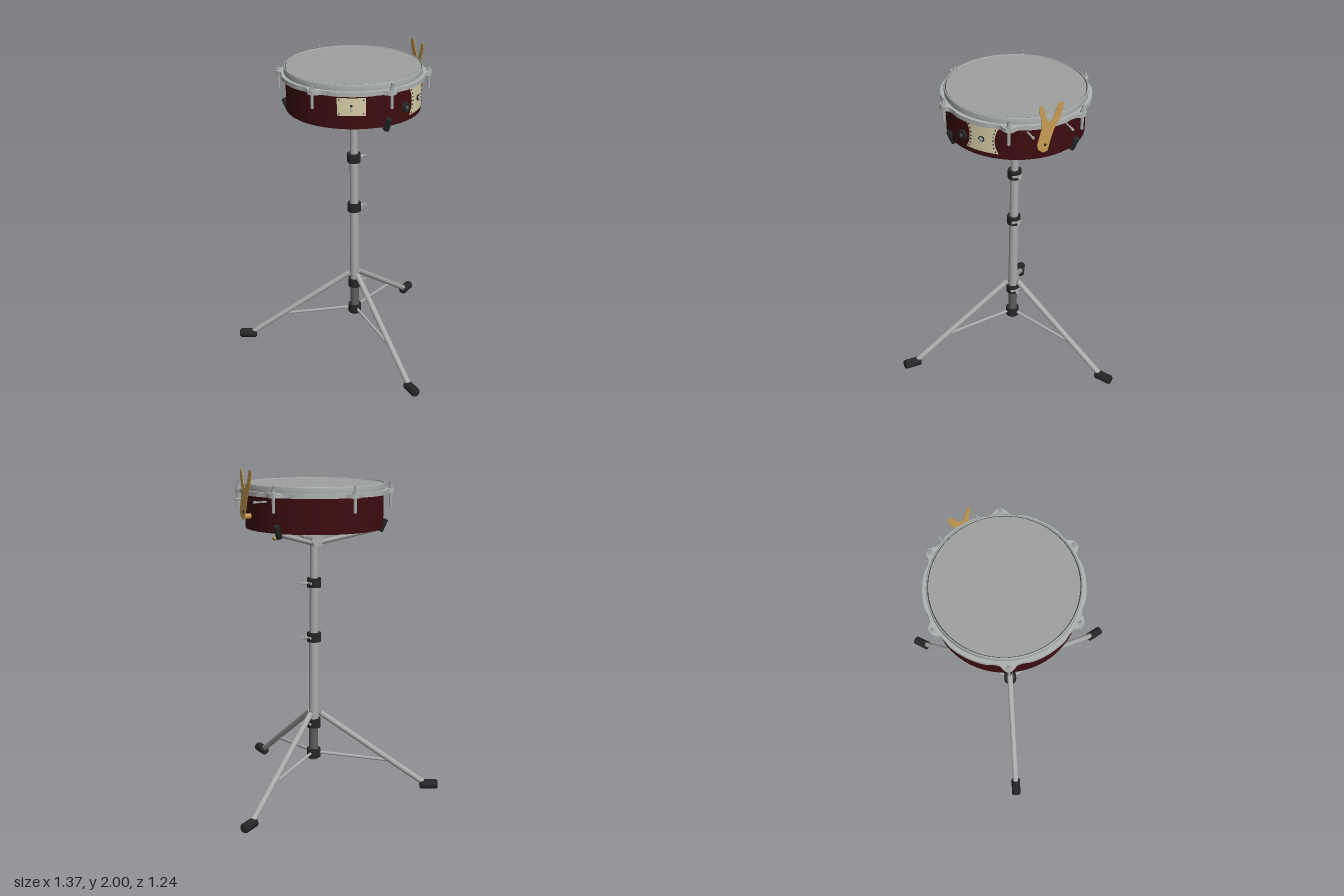
import * as THREE from 'three';

const CZ = -0.155; // z of the stand's axis
const R = 0.405;   // shell radius
const DEG = Math.PI / 180;

const mat = (name, color, side = THREE.FrontSide) => {
  const m = new THREE.MeshStandardMaterial({ color, side });
  m.name = name;
  return m;
};

export function createModel() {
  const root = new THREE.Group();
  root.name = 'drumOnStand';
  const chrome = mat('chrome', 0xa9abab);
  const tubeGrey = mat('dark steel', 0x5c5e5e);
  const black = mat('black rubber', 0x242627);
  const red = mat('dark red lacquer', 0x3d0c0f);
  const skin = mat('drum skin', 0x9fa29f);
  const cream = mat('cream plate', 0xd9cfa9, THREE.DoubleSide);
  const gold = mat('golden wood', 0xc89d55, THREE.DoubleSide);
  const wood = mat('brown wood', 0x96603a);
  const hoopGrey = mat('hoop metal', 0xb0b3b3);

  const add = (name, geo, m, parent = root) => {
    const mesh = new THREE.Mesh(geo, m);
    mesh.name = name;
    parent.add(mesh);
    return mesh;
  };
  // Point at an angle from +z around the axis
  const P = (a, r, y) => new THREE.Vector3(r * Math.sin(a), y, CZ + r * Math.cos(a));
  const rod = (name, a, b, r, m, r2 = r, sides = 20) => {
    const d = b.clone().sub(a);
    const mesh = add(name, new THREE.CylinderGeometry(r2, r, d.length(), sides), m);
    mesh.position.copy(a).add(b).multiplyScalar(0.5);
    mesh.quaternion.setFromUnitVectors(new THREE.Vector3(0, 1, 0), d.normalize());
    return mesh;
  };
  const post = (name, y0, y1, r, m) => rod(name, P(0, 0, y0), P(0, 0, y1), r, m, r, 32);
  const lathe = (name, pts, m) => {
    const mesh = add(name, new THREE.LatheGeometry(pts.map(p => new THREE.Vector2(...p)), 72), m);
    mesh.position.z = CZ;
    return mesh;
  };

  // Telescopic column
  post('lowerTube', 0.2, 0.43, 0.028, tubeGrey);
  post('mainTube', 0.43, 0.98, 0.029, chrome);
  post('middleTube', 0.98, 1.32, 0.027, chrome);
  post('upperTube', 1.32, 1.56, 0.024, chrome);

  // Clamp collars and their wing bolts
  [0.24, 0.435, 0.98, 1.315].forEach((y, i) => {
    post('collar', y - 0.028, y + 0.028, 0.042, black);
    if (i === 0) return;
    const bar = add('clampBar', new THREE.BoxGeometry(0.01, 0.012, 0.066), chrome);
    bar.position.set(0.04, y, CZ);
    rod('wingBolt', new THREE.Vector3(0.04, y, CZ), new THREE.Vector3(0.066, y, CZ), 0.007, chrome);
    const lever = new THREE.CatmullRomCurve3([
      new THREE.Vector3(0.06, y, CZ - 0.012),
      new THREE.Vector3(0.072, y - 0.002, CZ),
      new THREE.Vector3(0.088, y + 0.002, CZ + 0.014)]);
    add('wingLever', new THREE.TubeGeometry(lever, 8, 0.006, 8), chrome);
  });

  // Hub of the drum basket
  rod('basketHub', new THREE.Vector3(0, 1.573, CZ - 0.042),
    new THREE.Vector3(0, 1.573, CZ + 0.042), 0.039, chrome, 0.039, 32);

  // Three legs, braces, feet, basket arms and grips
  for (let i = 0; i < 3; i++) {
    const a = i * 120 * DEG;
    rod('leg', P(a, 0.04, 0.5), P(a, 0.7, 0.035), 0.018, chrome);
    rod('legBrace', P(a, 0.03, 0.242), P(a, 0.47, 0.19), 0.009, chrome);
    const prof = [[0, -0.055], [0.024, -0.055], [0.029, -0.048], [0.029, 0.048], [0.024, 0.055], [0, 0.055]];
    const foot = add('rubberFoot', new THREE.LatheGeometry(prof.map(p => new THREE.Vector2(...p)), 24), black);
    foot.position.copy(P(a, 0.722, 0.032));
    foot.quaternion.setFromUnitVectors(new THREE.Vector3(0, 1, 0), new THREE.Vector3(Math.sin(a), 0, Math.cos(a)));
    rod('basketArm', P(a, 0.0, 1.548), P(a, 0.395, 1.645), 0.014, chrome);
    rod('basketGrip', P(a, 0.387, 1.625), P(a, 0.42, 1.695), 0.019, black, 0.016);
  }

  // Tightening knob under the drum
  const knob = rod('basketKnob', new THREE.Vector3(0.208, 1.592, -0.12),
    new THREE.Vector3(0.255, 1.588, -0.12), 0.009, gold);
  knob.scale.z = 2;

  // Shell, wooden underside and skin
  const shell = add('shell', new THREE.CylinderGeometry(R, R, 0.212, 72, 1, true), red);
  shell.position.set(0, 1.756, CZ);
  lathe('shellBottomEdge', [[0.39, 1.65], [R, 1.65]], red);
  const bottom = add('underside', new THREE.CircleGeometry(0.39, 72), wood);
  bottom.rotation.x = Math.PI / 2;
  bottom.position.set(0, 1.65, CZ);
  lathe('hoopBand', [[R, 1.855], [0.414, 1.86], [0.414, 1.908], [0.41, 1.912], [0.406, 1.912], [0.406, 1.898]], hoopGrey);
  const seam = add('skinSeam', new THREE.RingGeometry(0.402, 0.408, 72), black);
  seam.rotation.x = -Math.PI / 2;
  seam.position.set(0, 1.904, CZ);
  const head = add('drumHead', new THREE.CylinderGeometry(0.402, 0.402, 0.01, 72), skin);
  head.position.set(0, 1.902, CZ);

  // Hoop flange with six rounded ears
  const outline = [];
  for (let i = 0; i < 180; i++) {
    const t = i * 2 * DEG;
    let d = Math.abs(((i * 2 + 30) % 60) - 30); // degrees from the nearest ear
    const r = 0.436 + 0.03 * Math.exp(-Math.pow(d / 4.5, 4)) - 0.006 * Math.exp(-Math.pow((d - 10) / 4, 2));
    outline.push(new THREE.Vector2(r * Math.sin(t), r * Math.cos(t)));
  }
  const ring = new THREE.Shape(outline);
  ring.holes.push(new THREE.Path().absarc(0, 0, 0.408, 0, Math.PI * 2, true));
  const flange = add('hoopFlange', new THREE.ExtrudeGeometry(ring, { depth: 0.026, bevelEnabled: false, curveSegments: 48 }), hoopGrey);
  flange.rotation.x = -Math.PI / 2;
  flange.position.set(0, 1.85, CZ);

  // Tension rods
  for (let i = 0; i < 6; i++) {
    const a = i * 60 * DEG;
    rod('tensionRod', P(a, 0.448, 1.768), P(a, 0.448, 1.9), 0.009, chrome);
    rod('rodWasher', P(a, 0.448, 1.876), P(a, 0.448, 1.884), 0.015, chrome);
    rod('rodHead', P(a, 0.448, 1.9), P(a, 0.448, 1.918), 0.007, chrome, 0.007, 4);
  }

  // Curved plates on the shell, with an optional narrow waist
  const plate = (name, a0, a1, y0, y1, waist) => {
    const mid = (a0 + a1) / 2, half = (a1 - a0) / 2;
    const edge = v => half * (1 - waist * (1 - Math.pow(2 * v - 1, 2)));
    const geo = new THREE.PlaneGeometry(2, 1, 14, 10);
    const pos = geo.attributes.position;
    for (let i = 0; i < pos.count; i++) {
      const v = pos.getY(i) + 0.5;
      const p = P((mid + pos.getX(i) * edge(v)) * DEG, R + 0.004, y0 + v * (y1 - y0));
      pos.setXYZ(i, p.x, p.y, p.z);
    }
    geo.computeVertexNormals();
    add(name, geo, cream);
    const stud = (s, v, r = 0.004) => {
      const a = (mid + s * edge(v)) * DEG, y = y0 + v * (y1 - y0);
      rod('plateHole', P(a, R, y), P(a, R + 0.007, y), r, black, r, 8);
    };
    return { mid, stud };
  };
  const small = plate('smallPlate', -42, -19, 1.73, 1.835, 0);
  [-0.85, 0.85].forEach(s => [0.12, 0.88].forEach(v => small.stud(s, v)));
  rod('smallPlateBolt', P(small.mid * DEG, R, 1.768), P(small.mid * DEG, 0.436, 1.768), 0.008, chrome);
  rod('smallPlateVent', P(small.mid * DEG, R, 1.79), P(small.mid * DEG, R + 0.008, 1.79), 0.007, black);

  const large = plate('waistedPlate', 23, 52, 1.68, 1.84, 0.24);
  for (let k = 0; k < 7; k++) [-0.87, 0.87].forEach(s => large.stud(s, 0.08 + k * 0.14));
  const lm = large.mid * DEG;
  rod('waistedPlateRosette', P(lm, R, 1.758), P(lm, R + 0.009, 1.758), 0.018, black);
  rod('waistedPlateBolt', P(lm, R, 1.758), P(lm, R + 0.016, 1.758), 0.012, chrome);

  // Round black dial
  const da = 18.5 * DEG;
  rod('dial', P(da, R - 0.01, 1.737), P(da, R + 0.012, 1.737), 0.033, black, 0.028, 28);
  rod('dialCentre', P(da, R, 1.737), P(da, R + 0.016, 1.737), 0.01, tubeGrey);

  // Two pegs on the side
  [-0.282, -0.043].forEach(z => {
    rod('sidePeg', new THREE.Vector3(0.37, 1.822, z), new THREE.Vector3(0.45, 1.822, z), 0.005, chrome);
    rod('sidePegTip', new THREE.Vector3(0.45, 1.822, z), new THREE.Vector3(0.462, 1.822, z), 0.008, chrome);
  });

  // Forked thin wooden handle on the side, drawn as (-z, y)
  const fork = new THREE.Shape([
    [0.08, 1.735], [0.075, 1.765], [0.1, 1.86], [0.098, 1.91], [0.08, 1.965], [0.085, 1.99], [0.095, 1.997],
    [0.108, 1.982], [0.125, 1.92], [0.138, 1.893], [0.152, 1.893], [0.168, 1.92], [0.195, 1.992], [0.212, 2],
    [0.226, 1.99], [0.222, 1.955], [0.205, 1.9], [0.172, 1.84], [0.15, 1.765], [0.138, 1.715], [0.11, 1.71]
  ].map(p => new THREE.Vector2(...p)));
  const forkMesh = add('forkedHandle', new THREE.ExtrudeGeometry(fork, { depth: 0.004, bevelEnabled: false }), gold);
  forkMesh.rotation.y = Math.PI / 2;
  forkMesh.position.x = 0.443;
  rod('handleMount', new THREE.Vector3(0.39, 1.73, -0.122), new THREE.Vector3(0.446, 1.73, -0.122), 0.016, gold);
  rod('handleScrew', new THREE.Vector3(0.44, 1.757, -0.122), new THREE.Vector3(0.45, 1.757, -0.122), 0.008, black);

  return root;
}
